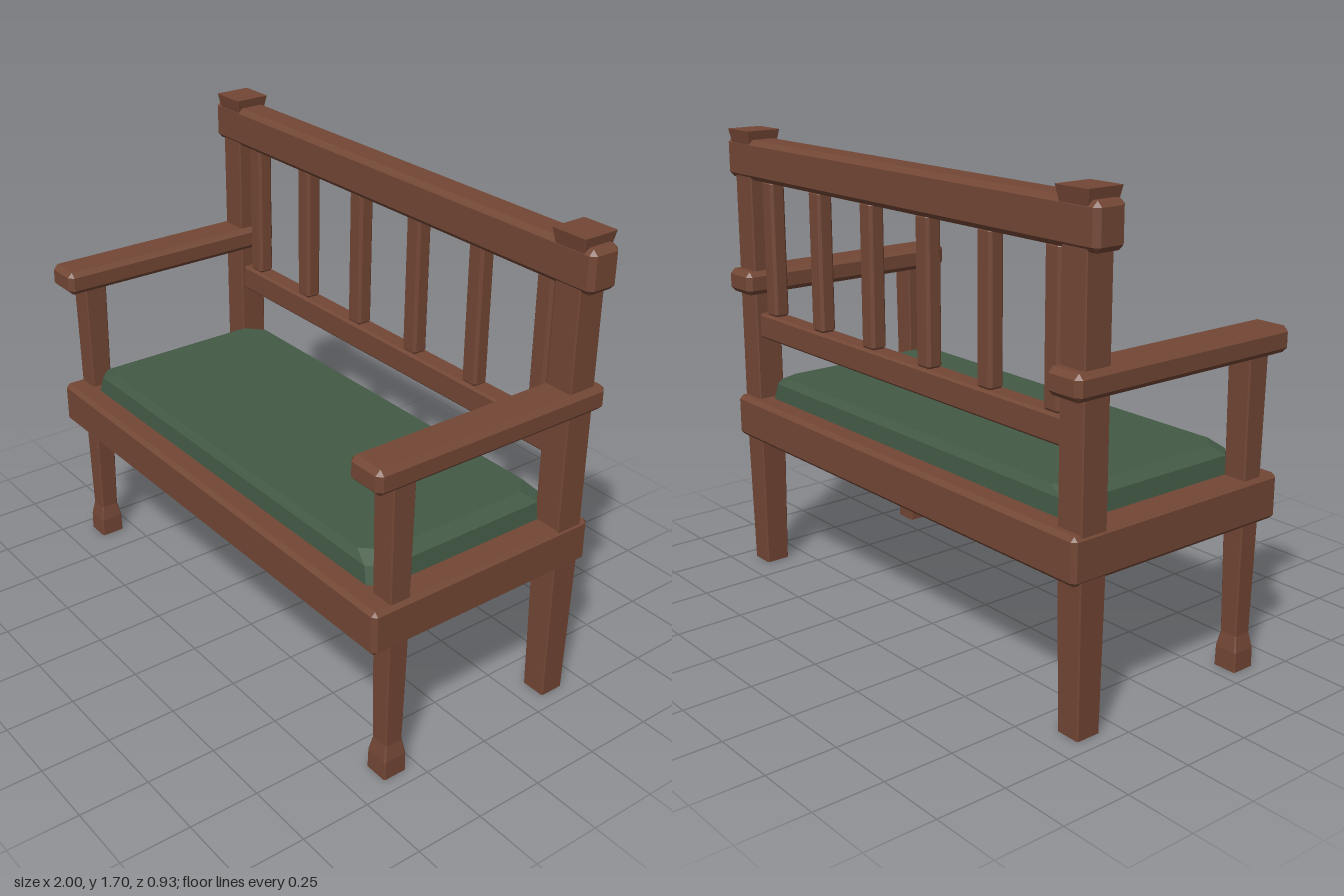
import * as THREE from 'three';
import { ConvexGeometry } from 'three/addons/geometries/ConvexGeometry.js';

// Box with every edge bevelled by c
function bevelBox(w, h, d, c) {
  const pts = [];
  for (const x of [-1, 1]) for (const y of [-1, 1]) for (const z of [-1, 1]) {
    const a = x * w / 2, b = y * h / 2, e = z * d / 2;
    pts.push(
      new THREE.Vector3(a, b - y * c, e - z * c),
      new THREE.Vector3(a - x * c, b, e - z * c),
      new THREE.Vector3(a - x * c, b - y * c, e));
  }
  return new ConvexGeometry(pts);
}

// Stack of corner-cut rectangles, each [y, halfX, halfZ, cornerCut], bottom to top
function loft(levels) {
  const rings = levels.map(([y, hx, hz, c]) => [
    [hx, hz - c], [hx - c, hz], [-hx + c, hz], [-hx, hz - c],
    [-hx, -hz + c], [-hx + c, -hz], [hx - c, -hz], [hx, -hz + c],
  ].map(([x, z]) => [x, y, z]));
  const pos = [];
  const tri = (a, b, c) => pos.push(...a, ...b, ...c);
  for (let k = 0; k < rings.length - 1; k++) {
    const lo = rings[k], hi = rings[k + 1];
    for (let i = 0; i < 8; i++) {
      const j = (i + 1) % 8;
      tri(lo[i], hi[j], lo[j]);
      tri(lo[i], hi[i], hi[j]);
    }
  }
  const bottom = rings[0], top = rings[rings.length - 1];
  for (let i = 1; i < 7; i++) {
    tri(bottom[0], bottom[i], bottom[i + 1]);
    tri(top[0], top[i + 1], top[i]);
  }
  const g = new THREE.BufferGeometry();
  g.setAttribute('position', new THREE.Float32BufferAttribute(pos, 3));
  // Ring order runs clockwise seen from above, so reverse every face
  g.computeVertexNormals();
  return g;
}

export function createModel() {
  const group = new THREE.Group();
  const wood = new THREE.MeshStandardMaterial({ color: 0x734735 });
  wood.name = 'brown wood';
  const fabric = new THREE.MeshStandardMaterial({ color: 0x435a46 });
  fabric.name = 'green fabric';
  // Low-poly facets throughout
  wood.flatShading = fabric.flatShading = true;

  const add = (name, geometry, x, y, z, material = wood) => {
    const mesh = new THREE.Mesh(geometry, material);
    mesh.name = name;
    mesh.position.set(x, y, z);
    group.add(mesh);
  };
  const flip = (g) => {
    const p = g.attributes.position;
    for (let i = 0; i < p.count; i += 3) {
      const b = [p.getX(i + 1), p.getY(i + 1), p.getZ(i + 1)];
      p.setXYZ(i + 1, p.getX(i + 2), p.getY(i + 2), p.getZ(i + 2));
      p.setXYZ(i + 2, ...b);
    }
    g.computeVertexNormals();
    return g;
  };
  // Choose the outward winding from the signed volume
  const solid = (levels) => {
    const g = loft(levels), p = g.attributes.position;
    const a = new THREE.Vector3(), b = new THREE.Vector3(), c = new THREE.Vector3();
    let volume = 0;
    for (let i = 0; i < p.count; i += 3) {
      a.fromBufferAttribute(p, i);
      b.fromBufferAttribute(p, i + 1);
      c.fromBufferAttribute(p, i + 2);
      volume += a.dot(b.cross(c));
    }
    return volume < 0 ? flip(g) : g;
  };

  // Seat and cushion
  add('seatFrame', bevelBox(1.915, 0.16, 0.912, 0.015), 0, 0.601, 0);
  add('cushion', solid([
    [0.67, 0.86, 0.377, 0.04],
    [0.742, 0.85, 0.37, 0.05],
    [0.768, 0.80, 0.35, 0.06],
  ]), 0, 0, 0, fabric);

  // Backrest
  add('topRail', bevelBox(1.995, 0.147, 0.122, 0.018), 0, 1.594, -0.369);
  add('lowerRail', bevelBox(1.74, 0.095, 0.075, 0.008), 0, 0.968, -0.368);
  for (let i = 0; i < 6; i++) {
    add('backSlat', bevelBox(0.07, 0.51, 0.06, 0.01), -0.78 + i * 0.312, 1.268, -0.368);
  }

  // Posts, legs and arms on both sides
  for (const s of [-1, 1]) {
    const side = s > 0 ? 'left' : 'right';
    add(side + 'BackPost', solid([
      [0, 0.046, 0.046, 0.004],
      [0.55, 0.053, 0.053, 0.004],
      [1.66, 0.053, 0.053, 0.004],
    ]), s * 0.899, 0, -0.369);
    add(side + 'PostCap', solid([
      [1.64, 0.058, 0.058, 0.003],
      [1.70, 0.069, 0.069, 0.003],
    ]), s * 0.899, 0, -0.369);
    add(side + 'FrontLeg', solid([
      [0, 0.045, 0.045, 0.004],
      [0.07, 0.044, 0.044, 0.004],
      [0.125, 0.034, 0.034, 0.004],
      [0.54, 0.041, 0.039, 0.004],
    ]), s * 0.903, 0, 0.343);
    add(side + 'ArmPost', solid([
      [0.66, 0.043, 0.039, 0.004],
      [1.11, 0.046, 0.044, 0.004],
    ]), s * 0.901, 0, 0.343);
    add(side + 'Armrest', bevelBox(0.145, 0.088, 0.926, 0.018), s * 0.899, 1.135, 0);
  }
  return group;
}
